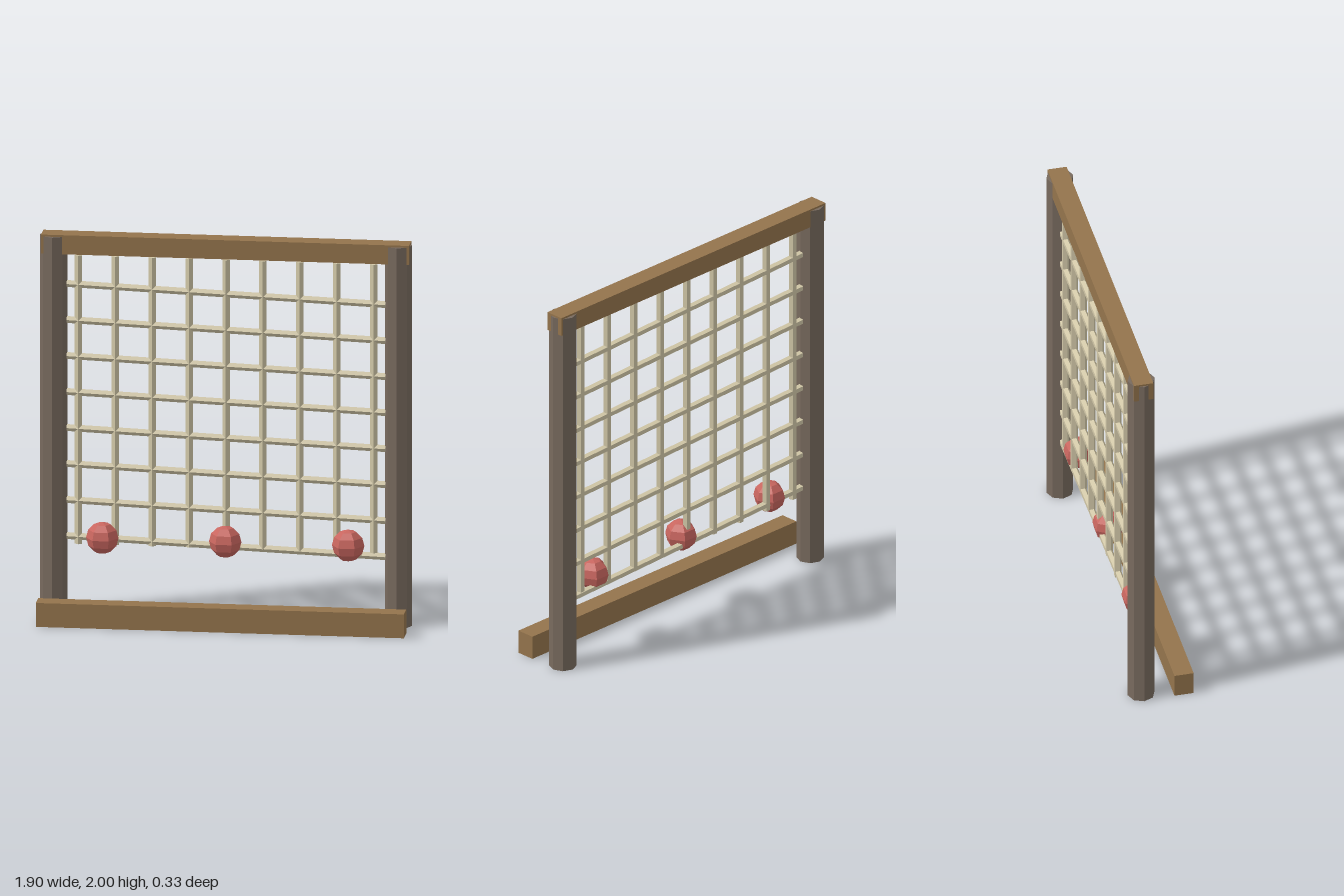
import * as THREE from 'three';

function material(name, color) {
  const m = new THREE.MeshStandardMaterial({ color, flatShading: true });
  m.name = name;
  return m;
}

export function createModel() {
  const model = new THREE.Group();
  model.name = 'climbingNet';
  const timber = material('timber', 0x94744c);
  const postWood = material('weathered post', 0x786a5e);
  const ropeMat = material('rope', 0xd2c8a8);
  const ballMat = material('red float', 0xc9665f);

  const add = (name, geometry, mat, x, y, z, parent = model) => {
    const mesh = new THREE.Mesh(geometry, mat);
    mesh.name = name;
    mesh.position.set(x, y, z);
    parent.add(mesh);
    return mesh;
  };
  const netZ = -0.095;

  // Frame: two octagonal posts, the top beam and the ground sill in front
  const postGeo = new THREE.CylinderGeometry(0.07, 0.07, 1.99, 8);
  add('leftPost', postGeo, postWood, 0.88, 0.995, netZ);
  add('rightPost', postGeo, postWood, -0.88, 0.995, netZ);
  add('topBeam', new THREE.BoxGeometry(1.88, 0.1, 0.1), timber, 0, 1.95, netZ);
  add('groundSill', new THREE.BoxGeometry(1.88, 0.125, 0.1), timber, 0, 0.0625, 0.115);

  // Net: upright ropes crossed by slightly sagging cross ropes
  const net = new THREE.Group();
  net.name = 'ropeNet';
  model.add(net);
  const uprightGeo = new THREE.CylinderGeometry(0.02, 0.02, 1.51, 5);
  for (let i = 0; i < 9; i++) {
    add('uprightRope', uprightGeo, ropeMat, (i - 4) * 0.1885, 1.132, netZ, net);
  }
  const crossGeo = new THREE.CylinderGeometry(0.019, 0.019, 1.63, 5);
  for (let i = 0; i < 8; i++) {
    const rope = add('crossRope', crossGeo, ropeMat, 0, 0.388 + i * 0.1885, netZ, net);
    rope.rotation.z = -Math.PI / 2 - 0.036;
  }

  // Floats along the lowest cross rope
  const ballGeo = new THREE.SphereGeometry(0.083, 6, 6);
  for (const x of [-0.628, 0, 0.628]) add('float', ballGeo, ballMat, x, 0.42, -0.055);

  return model;
}
